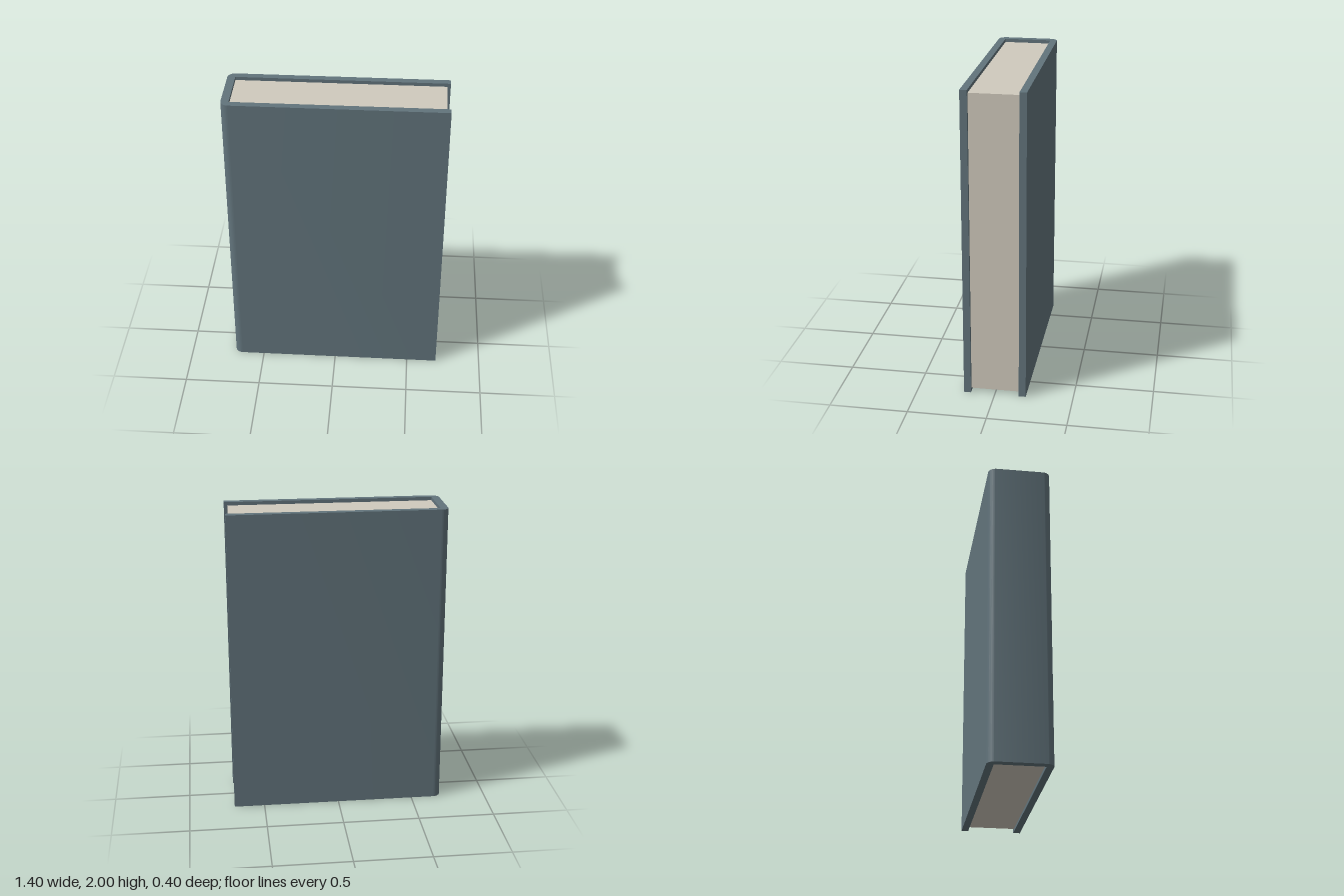
import * as THREE from 'three';
import { toCreasedNormals } from 'three/addons/utils/BufferGeometryUtils.js';

const HEIGHT = 2, HALF_WIDTH = 0.7, HALF_DEPTH = 0.2;
const BOARD = 0.045; // thickness of the cover boards
const SPINE = 0.05; // thickness of the spine
const RADIUS = 0.05; // rounding of the outer spine edges
const INSET = 0.022; // how far the pages sit inside the cover

// U-shaped cover section: two boards joined by a spine at -x
function coverSection() {
  const x = HALF_WIDTH, z = HALF_DEPTH, inner = HALF_DEPTH - BOARD;
  const s = new THREE.Shape();
  s.moveTo(x, z);
  s.lineTo(-x + RADIUS, z);
  s.absarc(-x + RADIUS, z - RADIUS, RADIUS, Math.PI / 2, Math.PI, false);
  s.lineTo(-x, -z + RADIUS);
  s.absarc(-x + RADIUS, -z + RADIUS, RADIUS, Math.PI, Math.PI * 1.5, false);
  s.lineTo(x, -z);
  s.lineTo(x, -inner);
  s.lineTo(-x + SPINE, -inner);
  s.lineTo(-x + SPINE, inner);
  s.lineTo(x, inner);
  s.closePath();
  return s;
}

export function createModel() {
  const book = new THREE.Group();
  book.name = 'book';

  // Cover, extruded upwards
  const coverGeometry = new THREE.ExtrudeGeometry(coverSection(), {
    depth: HEIGHT, bevelEnabled: false, curveSegments: 8,
  });
  coverGeometry.rotateX(-Math.PI / 2);
  const cover = new THREE.Mesh(
    toCreasedNormals(coverGeometry, Math.PI / 6),
    new THREE.MeshStandardMaterial({ color: 0x62747c }),
  );
  cover.name = 'cover';
  book.add(cover);

  // Page block, slightly recessed at the top, bottom and fore edge
  const left = -HALF_WIDTH + SPINE, right = HALF_WIDTH - INSET;
  const pages = new THREE.Mesh(
    new THREE.BoxGeometry(right - left, HEIGHT - 2 * INSET, 2 * (HALF_DEPTH - BOARD)),
    new THREE.MeshStandardMaterial({ color: 0xd0cabd }),
  );
  pages.name = 'pages';
  pages.position.set((left + right) / 2, HEIGHT / 2, 0);
  book.add(pages);

  return book;
}
